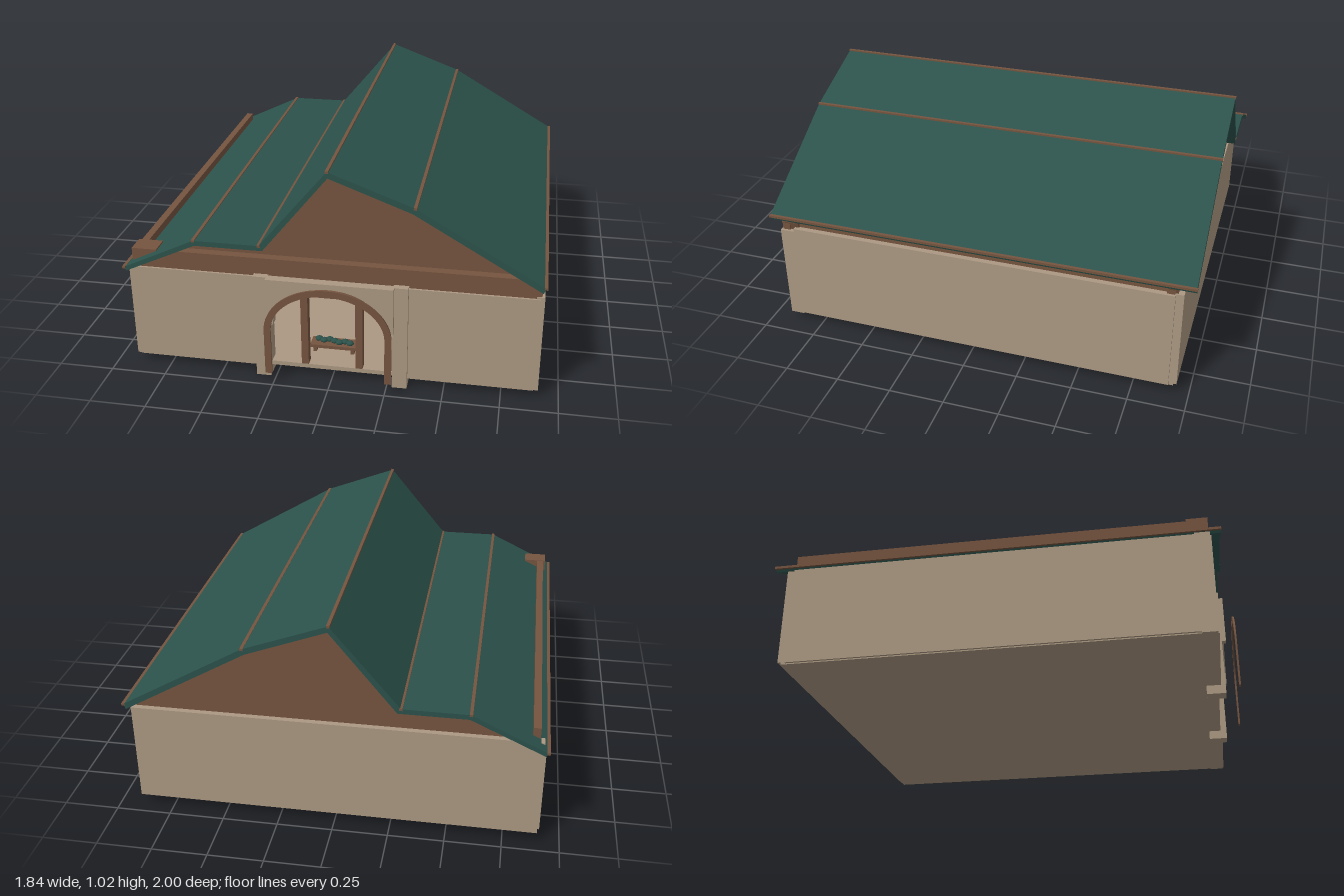
import * as THREE from 'three';

export function createModel() {
  const model = new THREE.Group();
  const mat = (name, color) => {
    const m = new THREE.MeshStandardMaterial({ color });
    m.name = name;
    return m;
  };
  const plaster = mat('plaster', 0xab9882);
  const wood = mat('wood', 0x75543f);
  const green = mat('roofGreen', 0x2c524b);

  const add = (name, geometry, material) => {
    const mesh = new THREE.Mesh(geometry, material);
    mesh.name = name;
    model.add(mesh);
    return mesh;
  };
  // Box given by its limits on each axis
  const box = (name, material, x0, x1, y0, y1, z0, z1) => {
    const mesh = add(name, new THREE.BoxGeometry(x1 - x0, y1 - y0, z1 - z0), material);
    mesh.position.set((x0 + x1) / 2, (y0 + y1) / 2, (z0 + z1) / 2);
    return mesh;
  };
  // Outline in x and y, extruded from z0 to z1
  const slab = (name, material, shape, z0, z1) => {
    const geometry = new THREE.ExtrudeGeometry(shape, { depth: z1 - z0, bevelEnabled: false, curveSegments: 24 });
    add(name, geometry.translate(0, 0, z0), material);
  };
  const outline = (points) => new THREE.Shape(points.map(([x, y]) => new THREE.Vector2(x, y)));

  // Floor and outer walls
  box('floor', plaster, -0.9, 0.9, 0.04, 0.06, -0.93, 0.9);
  box('rightWall', plaster, -0.91, -0.88, 0.045, 0.49, -0.91, 0.84);
  box('leftWall', plaster, 0.88, 0.91, 0.045, 0.515, -0.91, 0.84);
  box('backWall', plaster, -0.9, 0.9, 0.05, 0.52, -0.945, -0.905);
  for (const s of [-1, 1]) {
    const a = s * 0.3, b = s * 0.89;
    box('frontWall', plaster, Math.min(a, b), Math.max(a, b), 0.04, 0.49, 0.83, 0.91);
    box('cornerPost', plaster, s * 0.893 - 0.017, s * 0.893 + 0.017, 0.04, 0.5, 0.84, 0.905);
    box('entrancePillar', plaster, s * 0.307 - 0.033, s * 0.307 + 0.033, 0, 0.5, 0.845, 0.93);
  }

  // Wall above the arched entrance
  const spandrel = new THREE.Shape();
  spandrel.moveTo(-0.28, 0.28);
  spandrel.lineTo(-0.28, 0.5);
  spandrel.lineTo(0.28, 0.5);
  spandrel.lineTo(0.28, 0.28);
  spandrel.lineTo(0.25, 0.28);
  spandrel.absellipse(0, 0.28, 0.25, 0.195, 0, Math.PI, false);
  spandrel.closePath();
  slab('entranceSpandrel', plaster, spandrel, 0.91, 0.95);

  // Thin arch trim standing in front of the entrance
  const arch = new THREE.Shape();
  arch.moveTo(0.28, 0.06);
  arch.lineTo(0.28, 0.275);
  arch.absellipse(0, 0.275, 0.28, 0.222, 0, Math.PI, false);
  arch.lineTo(-0.28, 0.06);
  arch.lineTo(-0.25, 0.06);
  arch.lineTo(-0.25, 0.275);
  arch.absellipse(0, 0.275, 0.25, 0.192, Math.PI, 0, true);
  arch.lineTo(0.25, 0.06);
  arch.closePath();
  slab('archTrim', wood, arch, 0.991, 0.999);

  // Door frame
  for (const s of [-1, 1]) {
    box('doorPost', wood, s * 0.122 - 0.016, s * 0.122 + 0.016, 0.06, 0.44, 0.86, 0.9);
  }
  box('doorLintel', wood, -0.138, 0.138, 0.405, 0.44, 0.86, 0.9);

  // Planted bench inside the doorway
  box('benchTop', wood, -0.105, 0.105, 0.13, 0.145, 0.8, 0.87);
  for (const s of [-1, 1]) {
    box('benchBracket', wood, s * 0.085 - 0.008, s * 0.085 + 0.008, 0.105, 0.13, 0.81, 0.86);
  }
  for (let i = -3; i <= 3; i++) {
    const leaf = add('leaf', new THREE.SphereGeometry(0.018, 8, 6), green);
    leaf.scale.y = 0.6;
    leaf.position.set(i * 0.024, 0.153, 0.835 + (i % 2) * 0.01);
  }

  // Folded roof with five slopes
  const top = [[-0.915, 0.505], [-0.59, 0.66], [-0.3, 0.66], [0, 1.02], [0.365, 0.885], [0.91, 0.568]];
  const under = [[-0.905, 0.488], [-0.585, 0.637], [-0.285, 0.637], [0.003, 0.992], [0.355, 0.86], [0.9, 0.543]];
  slab('roof', green, outline([...under, ...top.slice().reverse()]), -0.995, 0.95);
  for (const [x, y] of top) {
    box('roofSeam', wood, x - 0.007, x + 0.007, y - 0.007, y + 0.004, -0.998, 0.952);
  }

  // Gable ends filling the space under the roof
  const gable = outline([[0.885, 0.49], ...under.slice().reverse()]);
  slab('frontGable', wood, gable, 0.82, 0.86);
  slab('backGable', wood, gable, -0.92, -0.88);

  // Beams at the wall heads
  slab('frontBeam', wood, outline([[-0.895, 0.488], [0.885, 0.488], [0.9, 0.54], [0.84, 0.575], [-0.72, 0.575]]), 0.83, 0.9);
  box('rightEaveBeam', wood, -0.88, -0.847, 0.49, 0.573, -0.915, 0.82);
  box('rightBeamEnd', wood, -0.892, -0.78, 0.49, 0.576, 0.81, 0.9);
  box('leftEaveBeam', wood, 0.855, 0.885, 0.505, 0.55, -0.9, 0.85);
  for (const z of [0.88, -0.89]) {
    box('leftBeamEnd', wood, 0.86, 0.898, 0.5, 0.56, z - 0.018, z + 0.018);
  }

  return model;
}
